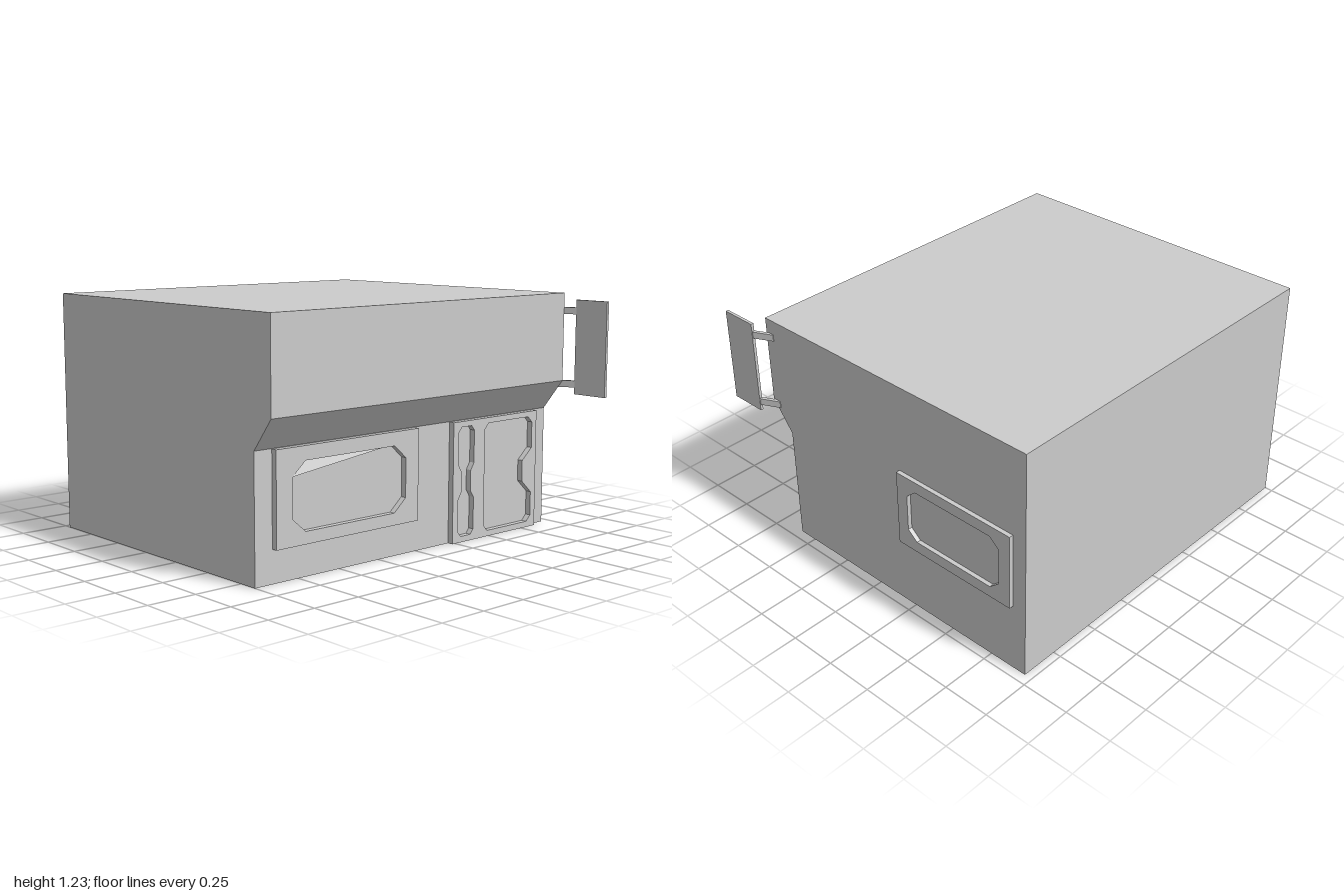
import * as THREE from 'three';

const grey = new THREE.MeshStandardMaterial({ color: 0xcccccc, flatShading: true });
const greyDouble = new THREE.MeshStandardMaterial({ color: 0xcccccc, flatShading: true, side: THREE.DoubleSide });

const toPoints = (list) => list.map(([x, y]) => new THREE.Vector2(x, y));
const rect = (x0, y0, x1, y1) => [[x0, y0], [x1, y0], [x1, y1], [x0, y1]];

// Rectangle with cut corners
const octagon = (x0, y0, x1, y1, cx, cy) => [
  [x0 + cx, y0], [x1 - cx, y0], [x1, y0 + cy], [x1, y1 - cy],
  [x1 - cx, y1], [x0 + cx, y1], [x0, y1 - cy], [x0, y0 + cy],
];

// Flat plate with optional holes, extruded along its local z
function plate(name, outline, depth, holes = []) {
  const shape = new THREE.Shape(toPoints(outline));
  for (const hole of holes) shape.holes.push(new THREE.Path(toPoints(hole)));
  const mesh = new THREE.Mesh(new THREE.ExtrudeGeometry(shape, { depth, bevelEnabled: false }), grey);
  mesh.name = name;
  return mesh;
}

export function createModel() {
  const model = new THREE.Group();
  model.name = 'shopBuilding';

  // Building block: side profile (z, y) with overhanging upper storey
  const body = plate('building', [
    [-0.96, 0], [0.6, 0], [0.6, 0.615], [0.72, 0.77], [0.72, 1.225], [-0.96, 1.225],
  ], 1.95);
  body.rotation.y = -Math.PI / 2;
  body.position.x = 0.95;
  model.add(body);

  // Front window frame
  const frontWindow = plate('frontWindowFrame', rect(-0.9, 0.16, -0.015, 0.613), 0.03,
    [octagon(-0.805, 0.22, -0.1, 0.545, 0.075, 0.065)]);
  frontWindow.position.z = 0.6;
  model.add(frontWindow);

  // Sloping facet in the top corner of the front window
  const facet = new THREE.BufferGeometry();
  facet.setAttribute('position', new THREE.Float32BufferAttribute([
    -0.805, 0.48, 0.63, -0.175, 0.545, 0.602, -0.73, 0.545, 0.602,
  ], 3));
  facet.computeVertexNormals();
  const windowFacet = new THREE.Mesh(facet, greyDouble);
  windowFacet.name = 'frontWindowFacet';
  model.add(windowFacet);

  // Door panel with a narrow waisted recess and a wide notched recess
  const narrow = [
    [0.29, 0.03], [0.36, 0.03], [0.38, 0.055], [0.38, 0.22], [0.357, 0.255], [0.357, 0.36],
    [0.38, 0.395], [0.38, 0.56], [0.36, 0.585], [0.29, 0.585], [0.268, 0.56], [0.268, 0.395],
    [0.29, 0.36], [0.29, 0.255], [0.268, 0.22], [0.268, 0.055],
  ];
  const wide = [
    [0.485, 0.03], [0.79, 0.03], [0.82, 0.06], [0.82, 0.185], [0.75, 0.25], [0.75, 0.36],
    [0.82, 0.42], [0.82, 0.555], [0.79, 0.585], [0.485, 0.585], [0.458, 0.555], [0.458, 0.06],
  ];
  const door = plate('doorPanel', rect(0.23, 0, 0.855, 0.613), 0.03, [narrow, wide]);
  door.position.z = 0.6;
  model.add(door);

  // Side window frame on the left wall
  const sideWindow = plate('sideWindowFrame', rect(0.18, 0.367, 0.885, 0.768), 0.022,
    [octagon(0.245, 0.425, 0.82, 0.71, 0.055, 0.047)]);
  sideWindow.rotation.y = Math.PI / 2;
  sideWindow.position.x = 0.95;
  model.add(sideWindow);

  // Hanging sign board and its two angled brackets
  const sign = new THREE.Mesh(new THREE.BoxGeometry(0.015, 0.49, 0.195), grey);
  sign.name = 'signBoard';
  sign.position.set(0.9925, 0.945, 0.8675);
  model.add(sign);
  for (const top of [0.77, 1.15]) {
    const bracket = plate('signBracket',
      [[0.945, 0.67], [0.953, 0.67], [0.998, 0.76], [0.998, 0.775], [0.986, 0.775], [0.945, 0.693]], 0.035);
    bracket.rotation.x = Math.PI / 2;
    bracket.position.y = top;
    model.add(bracket);
  }

  return model;
}
